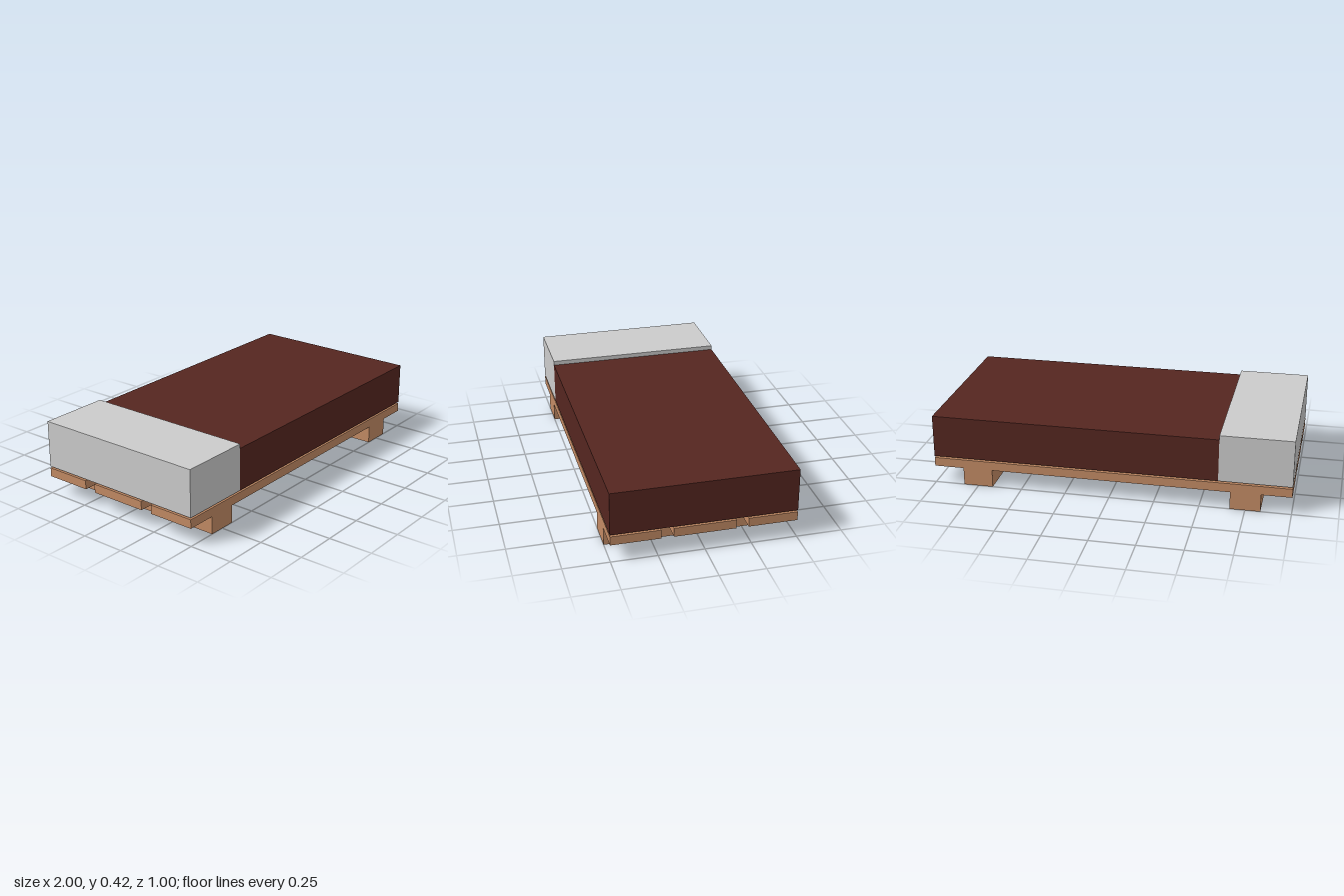
import * as THREE from 'three';

const wood = new THREE.MeshStandardMaterial({ color: 0xc28a64 });
const blanket = new THREE.MeshStandardMaterial({ color: 0x552620 });
const grey = new THREE.MeshStandardMaterial({ color: 0xcccccc });

// Box given by its extents along each axis
function block(name, material, [x0, x1], [y0, y1], [z0, z1]) {
  const mesh = new THREE.Mesh(new THREE.BoxGeometry(x1 - x0, y1 - y0, z1 - z0), material);
  mesh.position.set((x0 + x1) / 2, (y0 + y1) / 2, (z0 + z1) / 2);
  mesh.name = name;
  return mesh;
}

export function createModel() {
  const bed = new THREE.Group();
  bed.name = 'bed';

  // Two cross beams that carry the bed
  for (const side of [-1, 1]) {
    const x = side * 0.75;
    bed.add(block(side > 0 ? 'footBeam' : 'headBeam', wood, [x - 0.0833, x + 0.0833], [0, 0.1], [-0.5, 0.5]));
  }

  // Three long planks with gaps between them
  const planks = { backPlank: [-0.5, -0.2333], middlePlank: [-0.1667, 0.1667], frontPlank: [0.2333, 0.5] };
  for (const [name, z] of Object.entries(planks)) {
    bed.add(block(name, wood, [-1, 1], [0.1, 0.15], z));
  }

  // Blanket-covered mattress and the taller head section
  bed.add(block('mattress', blanket, [-0.6, 1], [0.16, 0.4], [-0.5, 0.5]));
  bed.add(block('pillow', grey, [-1, -0.6], [0.16, 0.425], [-0.5, 0.5]));

  return bed;
}
